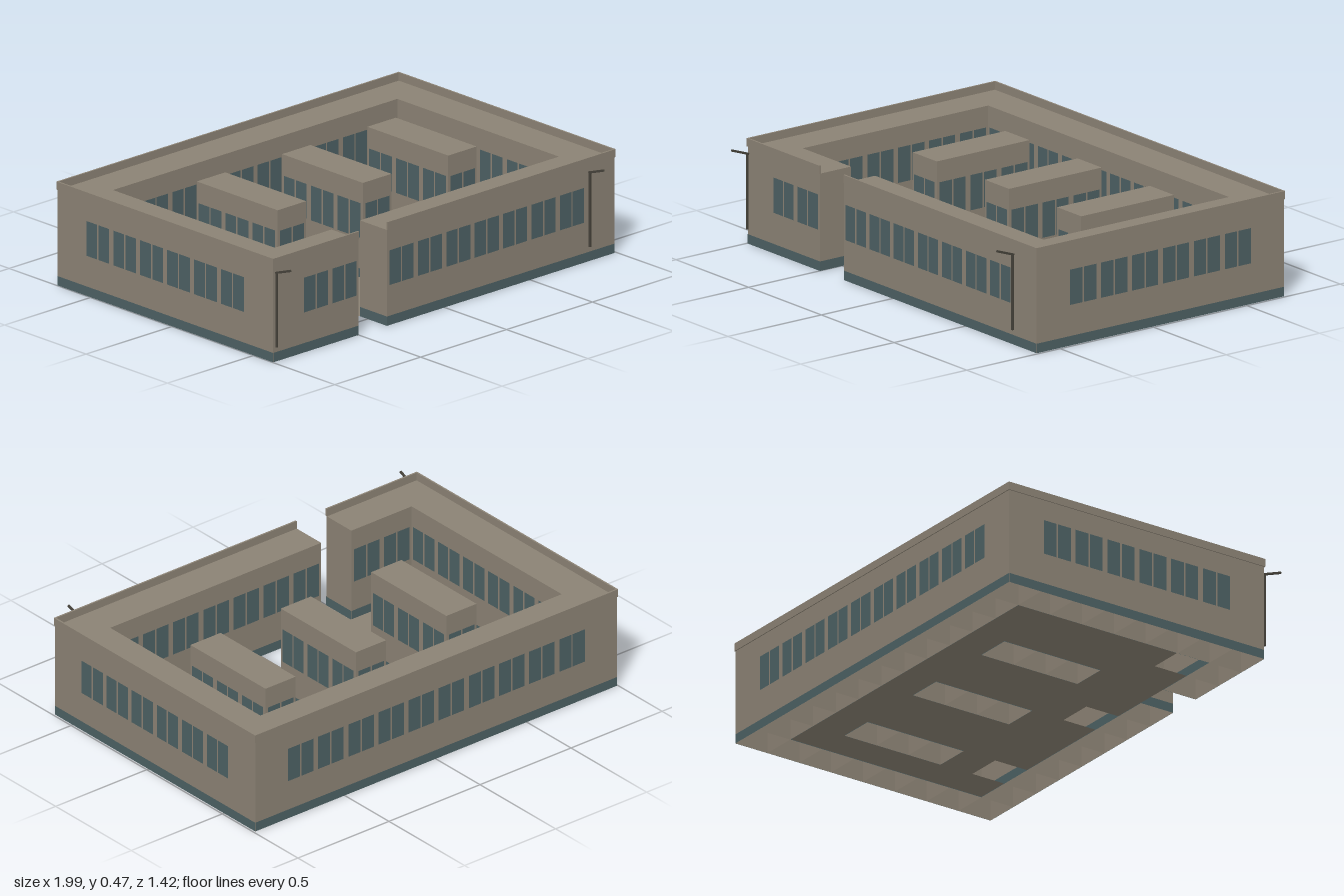
import * as THREE from 'three';
import { mergeGeometries } from 'three/addons/utils/BufferGeometryUtils.js';

// Plan: '#' roofed bay, '.' courtyard paving, ' ' open
const PLAN = [
  '############',
  '#..........#',
  '#..#..#..#.#',
  '#..#..#..#.#',
  '#..#..#..#.#',
  '#..........#',
  '# ... ... .#',
  '### ########',
];
const T = 0.1655, X0 = -0.996, Z0 = -0.706;
const WALL_TOP = 0.43, PARAPET_TOP = 0.466, PLINTH = 0.042;
const cell = (i, j) => (PLAN[j] && PLAN[j][i]) || 'x';

export function createModel() {
  const group = new THREE.Group();
  const material = (name, color, side) => {
    const m = new THREE.MeshStandardMaterial({ color, side });
    m.name = name;
    return m;
  };
  const wallMat = material('warm grey concrete', 0x8b8274, THREE.DoubleSide);
  const glassMat = material('teal glass and plinth', 0x4c6063, THREE.DoubleSide);
  const metalMat = material('dark metal', 0x45423a, THREE.FrontSide);

  const parts = { roof: [], walls: [], courtyardFloor: [], windows: [], plinth: [], parapet: [] };

  // Upright plate on one side of a bay: u along the wall, out from it
  const plate = (cx, cz, angle, u, w, y0, y1, out) =>
    new THREE.PlaneGeometry(w, y1 - y0)
      .translate(u, (y0 + y1) / 2, T / 2 + out)
      .rotateY(angle)
      .translate(cx, 0, cz);
  const slab = (cx, cz, y) =>
    new THREE.PlaneGeometry(T, T).rotateX(-Math.PI / 2).translate(cx, y, cz);

  const SIDES = [[0, 1, 0], [1, 0, Math.PI / 2], [0, -1, Math.PI], [-1, 0, -Math.PI / 2]];

  for (let j = 0; j < 8; j++) {
    for (let i = 0; i < 12; i++) {
      const kind = cell(i, j);
      const cx = X0 + (i + 0.5) * T, cz = Z0 + (j + 0.5) * T;
      if (kind === '.') parts.courtyardFloor.push(slab(cx, cz, 0.002));
      if (kind !== '#') continue;
      parts.roof.push(slab(cx, cz, WALL_TOP));
      const corner = (i === 0 || i === 11) && (j === 0 || j === 7);

      SIDES.forEach(([di, dj, angle], s) => {
        const ni = i + di, nj = j + dj;
        const next = cell(ni, nj);
        // Partitions between bays are built once
        if (next === '#') {
          if (s < 2) parts.walls.push(plate(cx, cz, angle, 0, T, 0, WALL_TOP, 0));
          return;
        }
        parts.walls.push(plate(cx, cz, angle, 0, T, 0, WALL_TOP, 0));
        parts.plinth.push(plate(cx, cz, angle, 0, T, 0, PLINTH, 0.001));

        // Window pair, except at corners and in the entrance passage
        const passage = ni === 3 && nj === 7;
        if (!corner && !passage) {
          for (const u of [-0.037, 0.037]) {
            parts.windows.push(plate(cx, cz, angle, u, 0.066, 0.18, 0.336, 0.002));
          }
        }
        // Parapet along the outer edge
        if (next === 'x') {
          parts.parapet.push(
            new THREE.BoxGeometry(corner ? T + 0.008 : T, PARAPET_TOP - WALL_TOP, 0.008)
              .translate(0, (WALL_TOP + PARAPET_TOP) / 2, T / 2)
              .rotateY(angle)
              .translate(cx, 0, cz));
        }
      });
    }
  }

  for (const [name, list] of Object.entries(parts)) {
    const mat = name === 'windows' || name === 'plinth' ? glassMat : wallMat;
    const mesh = new THREE.Mesh(mergeGeometries(list), mat);
    mesh.name = name;
    group.add(mesh);
  }

  // Wall-mounted posts with a raised arm
  for (const x of [-0.985, 0.838]) {
    const post = new THREE.Group();
    post.name = 'frontPost';
    const pole = new THREE.Mesh(new THREE.BoxGeometry(0.008, 0.335, 0.008), metalMat);
    pole.name = 'pole';
    pole.position.set(x, 0.235, 0.629);
    const arm = new THREE.Mesh(new THREE.BoxGeometry(0.008, 0.009, 0.096), metalMat);
    arm.name = 'arm';
    arm.position.set(x, 0.416, 0.668);
    arm.rotation.x = -0.34;
    post.add(pole, arm);
    group.add(post);
  }

  return group;
}
